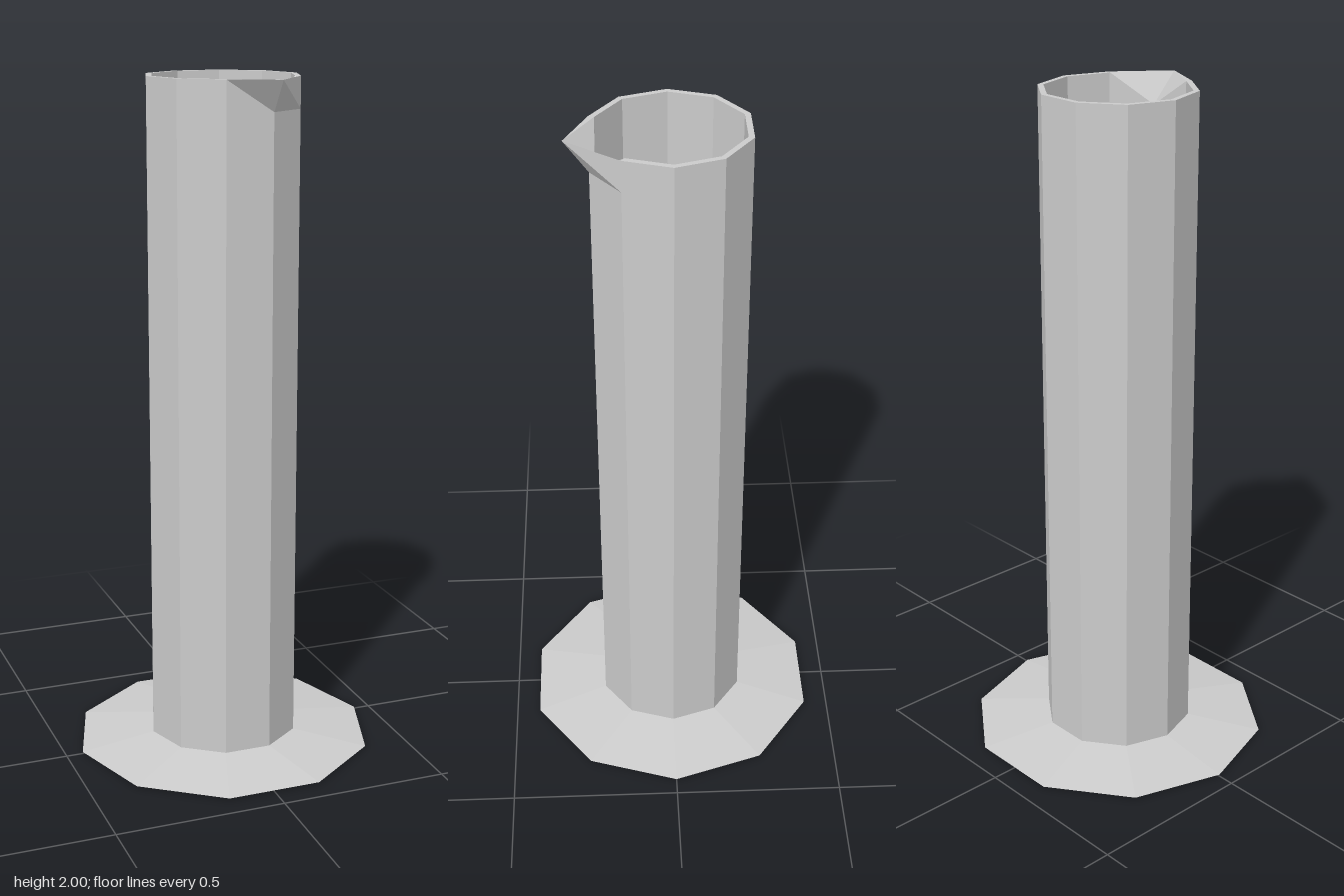
import * as THREE from 'three';

const SIDES = 10;
const SPOUT_ANGLE = THREE.MathUtils.degToRad(72); // measured from +x towards +z

// Ten-sided turned part with a corner on the x axis
function turned(name, points, material) {
  const profile = points.map(([r, y]) => new THREE.Vector2(r, y));
  const geometry = new THREE.LatheGeometry(profile, SIDES, Math.PI / 2);
  const mesh = new THREE.Mesh(geometry, material);
  mesh.name = name;
  return mesh;
}

// Pull one corner of the rim outwards and lower its inner edge to form a pouring lip
function shapeSpout(geometry, outerR, innerR, topY) {
  const p = geometry.attributes.position;
  const c = Math.cos(SPOUT_ANGLE), s = Math.sin(SPOUT_ANGLE);
  for (let i = 0; i < p.count; i++) {
    const atCorner = (r) => Math.hypot(p.getX(i) - r * c, p.getZ(i) - r * s) < 0.004;
    if (Math.abs(p.getY(i) - topY) > 0.001) continue;
    if (atCorner(outerR)) p.setXYZ(i, 0.068, topY, 0.281);
    else if (atCorner(innerR)) p.setY(i, topY - 0.085);
  }
  geometry.computeVertexNormals();
}

export function createModel() {
  const group = new THREE.Group();
  group.name = 'measuringCylinder';
  const material = new THREE.MeshStandardMaterial({ color: 0xcccccc, flatShading: true });

  // Wide, thin foot with a gently sloping top
  group.add(turned('foot', [[0, 0], [0.11, 0], [0.45, 0.005], [0.225, 0.035]], material));

  // Hollow tube: outer wall, rim, inner wall and floor
  const tube = turned('tube', [
    [0.225, 0.035], [0.225, 1.91], [0.225, 2],
    [0.208, 2], [0.208, 1.905], [0.208, 0.035], [0, 0.035],
  ], material);
  shapeSpout(tube.geometry, 0.225, 0.208, 2);
  group.add(tube);

  return group;
}
